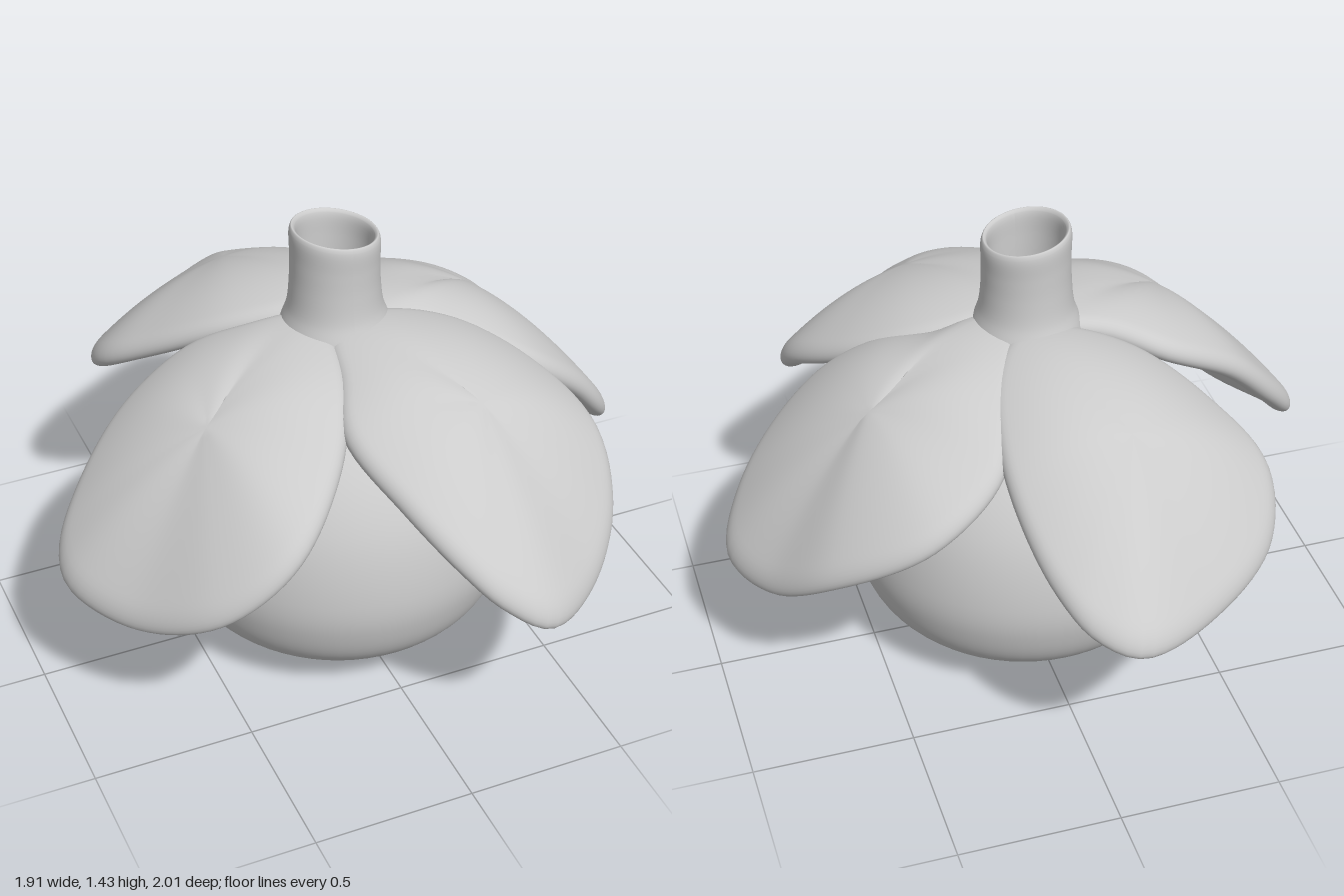
import * as THREE from 'three';
import { mergeVertices } from 'three/addons/utils/BufferGeometryUtils.js';

const material = new THREE.MeshStandardMaterial({ color: 0xcccccc, side: THREE.DoubleSide });

// Smooth lathe through a few profile points [radius, y]
function lathe(name, profile, steps, x, z) {
  const curve = new THREE.CatmullRomCurve3(profile.map(([r, y]) => new THREE.Vector3(r, y, 0)));
  const pts = curve.getPoints(steps).map(p => new THREE.Vector2(Math.max(p.x, 0), p.y));
  const mesh = new THREE.Mesh(new THREE.LatheGeometry(pts, 64), material);
  mesh.name = name;
  mesh.position.set(x, 0, z);
  return mesh;
}

// Petal rims as [x, y, z]: out along the high side, round the tip, back along the drooping side
const petals = {
  frontPetal: [
    [-.06, 1.08, .07], [-.12, 1.04, .28], [-.175, .97, .46], [-.1, .86, .7], [0, .74, .87], [.1, .64, .96],
    [.23, .56, 1.0], [.44, .545, .86], [.6, .64, .66], [.635, .78, .47], [.52, .91, .25], [.32, 1.02, .09], [.08, 1.08, .04],
  ],
  rightSidePetal: [
    [-.08, 1.08, -.02], [-.25, 1.05, -.07], [-.42, .98, -.13], [-.66, .84, -.09], [-.84, .65, -.01], [-.93, .53, .08],
    [-.945, .48, .19], [-.82, .465, .43], [-.63, .58, .645], [-.42, .75, .69], [-.22, .91, .53], [-.11, 1.03, .33], [-.06, 1.08, .09],
  ],
  backPetal: [
    [.04, 1.08, -.04], [.14, 1.04, -.18], [.19, .95, -.4], [.185, .84, -.6], [.14, .73, -.8], [.07, .66, -.93],
    [-.05, .62, -1.0], [-.33, .61, -.87], [-.55, .66, -.68], [-.61, .77, -.48], [-.5, .89, -.3], [-.3, 1.02, -.12], [-.08, 1.08, -.03],
  ],
  leftSidePetal: [
    [.05, 1.08, .07], [.22, 1.04, .08], [.4, .97, .19], [.56, .87, .235], [.75, .71, .19], [.88, .55, .11],
    [.94, .45, -.02], [.86, .455, -.23], [.7, .6, -.44], [.43, .77, -.565], [.2, .91, -.47], [.11, 1.03, -.25], [.02, 1.08, -.04],
  ],
};

// Domed blade: an arched sheet filled in from its rim, thickened along its normals with a rounded edge
function petal(name, rim) {
  const RINGS = 24, SEGS = 80, ARCH = 0.17, HALF = 0.04, ROUND = 0.88;
  const curve = new THREE.CatmullRomCurve3(rim.map(p => new THREE.Vector3(...p)), true);
  const outline = curve.getSpacedPoints(SEGS).slice(0, SEGS);
  const centre = outline.reduce((sum, p) => sum.add(p), new THREE.Vector3()).divideScalar(SEGS);

  // Middle sheet: one centre point, then rings that grow out to the rim
  const pos = [centre.x, centre.y + ARCH, centre.z], index = [], half = [HALF];
  const id = (ring, seg) => ring === 0 ? 0 : 1 + (ring - 1) * SEGS + seg % SEGS;
  for (let i = 1; i <= RINGS; i++) {
    const r = Math.sin(i / RINGS * Math.PI / 2);
    const edge = Math.max(0, (r - ROUND) / (1 - ROUND));
    for (let j = 0; j < SEGS; j++) {
      const p = centre.clone().lerp(outline[j], r);
      pos.push(p.x, p.y + ARCH * (1 - r * r), p.z);
      half.push(HALF * Math.sqrt(1 - edge * edge));
      index.push(id(i - 1, j), id(i, j), id(i, j + 1));
      if (i > 1) index.push(id(i - 1, j), id(i, j + 1), id(i - 1, j + 1));
    }
  }
  const sheet = new THREE.BufferGeometry();
  sheet.setAttribute('position', new THREE.Float32BufferAttribute(pos, 3));
  sheet.setIndex(index);
  sheet.computeVertexNormals();

  // Upper and lower skins, joined at the rim
  const normals = sheet.attributes.normal.array;
  const skin = side => pos.map((v, k) => v + side * half[Math.floor(k / 3)] * normals[k]);
  const lower = index.map(k => k + half.length).reverse();
  const solid = new THREE.BufferGeometry();
  solid.setAttribute('position', new THREE.Float32BufferAttribute([...skin(1), ...skin(-1)], 3));
  solid.setIndex([...index, ...lower]);
  const geo = mergeVertices(solid);
  geo.computeVertexNormals();
  const mesh = new THREE.Mesh(geo, material);
  mesh.name = name;
  return mesh;
}

export function createModel() {
  const group = new THREE.Group();
  group.name = 'fruitWithLeafyCap';

  // Pear-shaped body
  group.add(lathe('body', [
    [0, 0], [.2, .015], [.37, .07], [.49, .175], [.54, .3], [.55, .42],
    [.515, .62], [.43, .79], [.31, .92], [.16, 1.01], [0, 1.04],
  ], 60, -.01, .025));

  // Hollow stem with a flared foot and a rounded, slanted rim
  const stem = lathe('stem', [
    [.175, 1.05], [.165, 1.1], [.145, 1.16], [.136, 1.24], [.134, 1.32], [.134, 1.395],
    [.127, 1.41], [.117, 1.4], [.113, 1.32], [.113, 1.2], [.117, 1.06],
  ], 60, -.022, .032);
  const p = stem.geometry.attributes.position;
  for (let i = 0; i < p.count; i++) {
    const lift = THREE.MathUtils.smoothstep(p.getY(i), 1.15, 1.4);
    p.setY(i, p.getY(i) - 0.14 * p.getX(i) * lift);
  }
  stem.geometry.computeVertexNormals();
  group.add(stem);

  // Four drooping petals around the stem
  for (const [name, rim] of Object.entries(petals)) group.add(petal(name, rim));

  return group;
}
